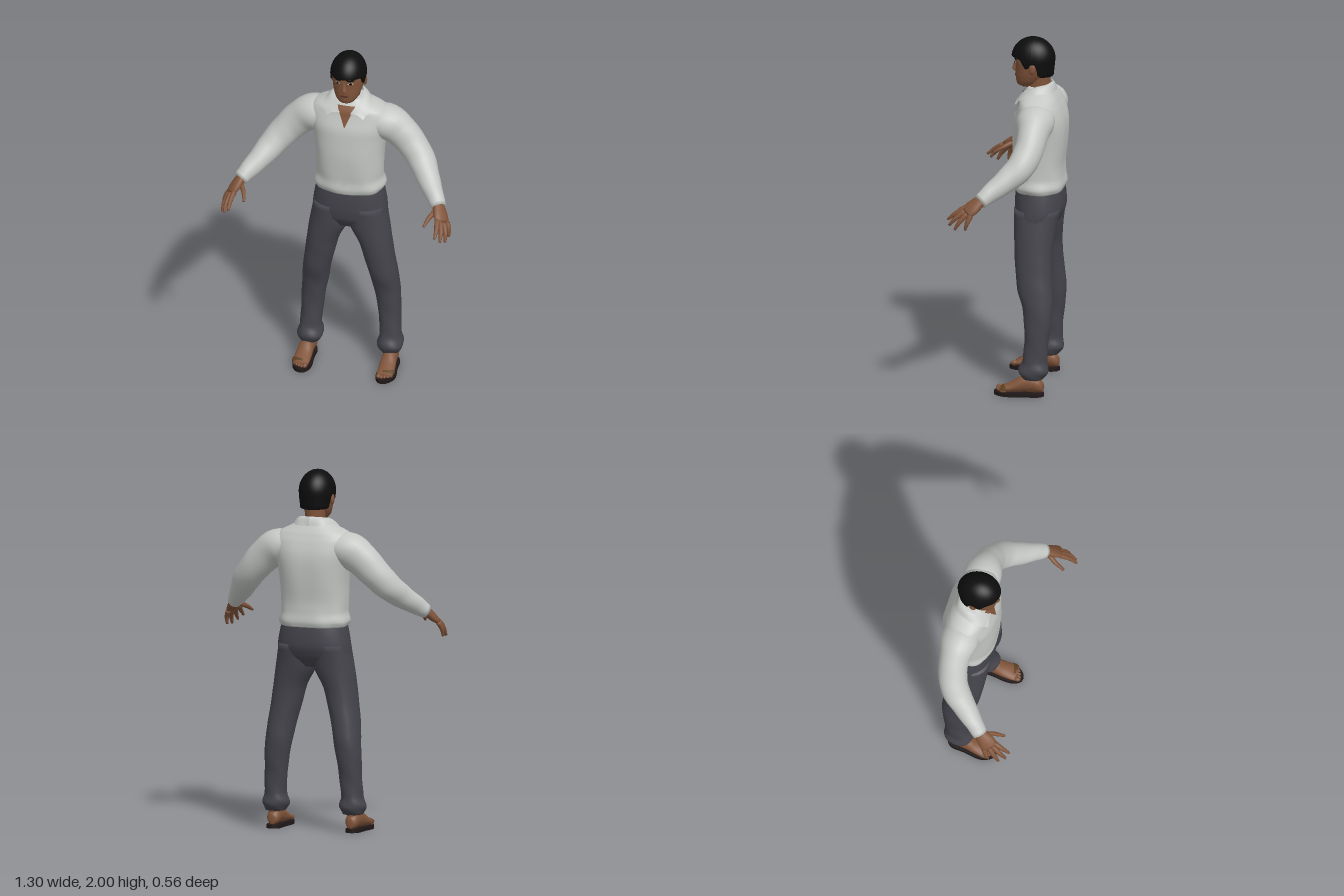
import * as THREE from 'three';

const V = (x, y, z) => new THREE.Vector3(x, y, z);
const DOWN = V(0, -1, 0), X = V(1, 0, 0);
const paint = (name, color) => {
  const m = new THREE.MeshStandardMaterial({ color, side: THREE.DoubleSide });
  m.name = name;
  return m;
};

// Grid surface from a rule fn(u, v) -> Vector3
function grid(fn, nu, nv) {
  const pos = [], idx = [];
  for (let i = 0; i <= nu; i++)
    for (let j = 0; j <= nv; j++) pos.push(...fn(i / nu, j / nv).toArray());
  for (let i = 0; i < nu; i++)
    for (let j = 0; j < nv; j++) {
      const a = i * (nv + 1) + j, b = a + nv + 1;
      idx.push(a, b, a + 1, b, b + 1, a + 1);
    }
  const g = new THREE.BufferGeometry();
  g.setAttribute('position', new THREE.Float32BufferAttribute(pos, 3));
  g.setIndex(idx);
  g.computeVertexNormals();
  return g;
}

// Closed loft through oval sections [x, y, z, radiusU, radiusV]
function loft(rows, { axis, side = X, n = 2, seg = 24, steps = 4, bump = () => 1 } = {}) {
  const mid = new THREE.CatmullRomCurve3(rows.map(r => V(r[0], r[1], r[2])));
  const rad = new THREE.CatmullRomCurve3(rows.map(r => V(r[3], r[4], 0)));
  const pw = c => Math.sign(c) * Math.abs(c) ** (2 / n);
  const point = (t, a, k = 1) => {
    const c = mid.getPoint(t), r = rad.getPoint(t), T = axis || mid.getTangent(t);
    const u = side.clone().addScaledVector(T, -side.dot(T)).normalize();
    const v = T.clone().cross(u), b = bump(t, a) * k;
    return c.addScaledVector(u, pw(Math.cos(a)) * r.x * b).addScaledVector(v, pw(Math.sin(a)) * r.y * b);
  };
  const N = (rows.length - 1) * steps, pos = [], idx = [];
  for (let i = 0; i <= N; i++)
    for (let j = 0; j < seg; j++) pos.push(...point(i / N, (j / seg) * Math.PI * 2).toArray());
  const end = (N + 1) * seg;
  pos.push(...mid.getPoint(0).toArray(), ...mid.getPoint(1).toArray());
  for (let j = 0; j < seg; j++) {
    const k = (j + 1) % seg;
    for (let i = 0; i < N; i++) {
      const a = i * seg, b = a + seg;
      idx.push(a + j, a + k, b + j, a + k, b + k, b + j);
    }
    idx.push(end, k, j, end + 1, N * seg + j, N * seg + k);
  }
  const geo = new THREE.BufferGeometry();
  geo.setAttribute('position', new THREE.Float32BufferAttribute(pos, 3));
  geo.setIndex(idx);
  geo.computeVertexNormals();
  // z of the front surface of an upright loft at (x, y)
  const frontZ = (x, y) => {
    let lo = 0, hi = 1;
    for (let i = 0; i < 24; i++) {
      const m = (lo + hi) / 2;
      if (mid.getPoint(m).y > y) lo = m; else hi = m;
    }
    const r = rad.getPoint(lo);
    return mid.getPoint(lo).z + r.y * Math.max(0, 1 - Math.abs(x / r.x) ** n) ** (1 / n);
  };
  return { geo, point, frontZ };
}

export function createModel() {
  const model = new THREE.Group();
  model.name = 'standingMan';
  const skin = paint('skin', 0x80543a), shirt = paint('shirt cloth', 0xc4c7c4);
  const cloth = paint('trouser cloth', 0x45444c), black = paint('hair black', 0x0d0d0e);
  const dark = paint('sole', 0x211818), tan = paint('sandal strap', 0x5c4020);
  const white = paint('eye white', 0xb5aca2), lipMat = paint('lips', 0x5c3529);
  const add = (name, geo, mat) => {
    const m = new THREE.Mesh(geo, mat);
    m.name = name;
    model.add(m);
    return m;
  };

  // Shirt body, with a spine groove and soft folds near the hem
  const torso = loft([
    [0, 1.725, -.125, .07, .06], [0, 1.69, -.125, .14, .085], [0, 1.66, -.125, .2, .105],
    [0, 1.62, -.13, .232, .12], [0, 1.55, -.13, .222, .143], [0, 1.48, -.13, .205, .149],
    [0, 1.38, -.125, .192, .148], [0, 1.28, -.122, .188, .14], [0, 1.22, -.125, .186, .138],
    [0, 1.17, -.127, .199, .142], [0, 1.14, -.127, .188, .134],
  ], {
    axis: DOWN, n: 2.4, seg: 48,
    bump: (t, a) => 1 - .04 * Math.sin(Math.PI * t) * Math.exp(-((a - 4.71) ** 2) / .04)
      + .018 * Math.max(0, t - .5) * 2 * Math.sin(7 * a + 9 * t),
  });
  add('shirtBody', torso.geo, shirt);
  const onChest = (x, y, off) => V(x, y, torso.frontZ(x, y) + off);
  add('openNeckline', grid((v, u) => onChest((u * 2 - 1) * .05 * v, 1.57 + .12 * v, .004), 10, 8), skin);
  add('placket', grid((v, u) => onChest((u * 2 - 1) * .011, 1.2 + .36 * v, .005), 16, 2), shirt);

  // Face and neck
  const head = loft([
    [0, 1.965, -.09, .055, .07], [0, 1.92, -.09, .085, .1], [0, 1.87, -.09, .09, .105],
    [0, 1.83, -.088, .086, .1], [0, 1.79, -.075, .078, .086], [0, 1.755, -.06, .065, .069],
    [0, 1.73, -.05, .045, .052], [0, 1.715, -.05, .02, .028],
  ], { axis: DOWN, n: 2.15, seg: 32 });
  add('head', head.geo, skin);
  add('neck', loft([[0, 1.82, -.125, .058, .06], [0, 1.72, -.118, .056, .062], [0, 1.66, -.115, .07, .062]],
    { axis: DOWN }).geo, skin);
  add('nose', loft([[0, 1.87, .006, .008, .008], [0, 1.84, .012, .01, .012], [0, 1.812, .016, .017, .015],
    [0, 1.802, .01, .013, .009]], { axis: DOWN, seg: 12 }).geo, skin);
  const spot = (name, cx, cy, rx, ry, off, mat) => add(name, grid((r, a) => {
    const x = cx + rx * r * Math.cos(a * 2 * Math.PI), y = cy + ry * r * Math.sin(a * 2 * Math.PI);
    return V(x, y, head.frontZ(x, y) + off);
  }, 3, 16), mat);
  spot('mouth', 0, 1.778, .026, .007, .004, lipMat);

  // Hair: a cap whose lower edge follows hairline, sideburns and nape
  const hairline = [[-1, 1.785], [-.4, 1.79], [-.22, 1.865], [.05, 1.865], [.12, 1.835], [.28, 1.84], [.5, 1.89], [1, 1.895]];
  const edgeAt = s => {
    const i = Math.max(1, hairline.findIndex(h => h[0] >= s - 1e-6));
    const [a, b] = [hairline[i - 1], hairline[i]];
    return a[1] + (b[1] - a[1]) * (s - a[0]) / (b[0] - a[0]);
  };
  add('hair', grid((w, q) => {
    const a = -q * Math.PI * 2, s = Math.max(-1, Math.min(1, Math.sin(a)));
    const k = Math.min(1, w / .92), y = 2 - (2 - edgeAt(s)) * k * k;
    let r = y > 1.88 ? Math.sqrt(Math.max(0, 1 - ((y - 1.88) / .12) ** 2)) : 1 - (1.88 - y) * .9;
    if (w > .93) r *= .84;
    return V(.1 * r * Math.cos(a), y, -.087 + .122 * r * s);
  }, 24, 64), black);

  for (const s of [1, -1]) {
    const label = s > 0 ? 'left' : 'right';
    const part = (name, rows, opt = {}, mat = skin) => {
      const l = loft(rows.map(([x, ...r]) => [x * s, ...r]), opt);
      add(label + name, l.geo, mat);
      return l;
    };

    // Eyes, brows and ears
    spot(label + 'EyeWhite', s * .037, 1.862, .016, .007, .003, white);
    spot(label + 'Pupil', s * .037, 1.862, .007, .007, .005, black);
    spot(label + 'Brow', s * .038, 1.881, .023, .005, .004, black);
    const ear = new THREE.SphereGeometry(1, 14, 10);
    ear.scale(.012, .032, .02);
    ear.translate(s * .091, 1.84, -.095);
    add(label + 'Ear', ear, skin);

    // Collar half, from the nape round to the pointed wing
    const inner = new THREE.CatmullRomCurve3([V(0, 1.75, -.195), V(.06, 1.745, -.165), V(.075, 1.735, -.115),
      V(.062, 1.705, -.06), V(.028, 1.655, -.015)]);
    const outer = new THREE.CatmullRomCurve3([V(0, 1.70, -.215), V(.08, 1.70, -.2), V(.122, 1.705, -.13),
      V(.132, 1.675, -.06), V(.105, 1.635, 0)]);
    add(label + 'Collar', grid((t, k) => {
      const p = inner.getPoint(t).lerp(outer.getPoint(t), k);
      p.addScaledVector(V(0, 1, 0), .012 * Math.sin(k * Math.PI));
      if (p.z > -.12) p.z = Math.max(p.z, torso.frontZ(p.x, p.y) + .01);
      p.x *= s;
      return p;
    }, 20, 5), shirt);

    // Sleeve
    part('Sleeve', [
      [.13, 1.58, -.135, .08, .1], [.21, 1.565, -.135, .1, .105], [.28, 1.52, -.135, .095, .085],
      [.35, 1.45, -.125, .086, .08], [.415, 1.375, -.09, .078, .078], [.47, 1.31, -.02, .066, .066],
      [.53, 1.25, .06, .052, .05], [.567, 1.213, .107, .041, .041],
    ], { side: V(.3 * s, 1, 0), bump: (t, a) => 1 + .018 * Math.sin(t * 38 + 2 * a) * t }, shirt);

    // Hand with four fingers and a thumb
    const across = V(.45 * s, -.25, -.5).normalize();
    part('Palm', [[.55, 1.237, .085, .032, .026], [.568, 1.21, .115, .039, .026],
      [.588, 1.18, .15, .047, .023], [.603, 1.158, .177, .043, .016]], { side: across, seg: 16 });
    const fingers = {
      IndexFinger: [[.578, 1.175, .19], [.587, 1.145, .24], [.587, 1.11, .283]],
      MiddleFinger: [[.595, 1.163, .187], [.612, 1.125, .235], [.614, 1.085, .27]],
      RingFinger: [[.61, 1.153, .172], [.63, 1.11, .21], [.635, 1.067, .235]],
      LittleFinger: [[.622, 1.148, .148], [.638, 1.11, .165], [.64, 1.07, .175]],
      Thumb: [[.558, 1.2, .125], [.528, 1.175, .18], [.512, 1.148, .232]],
    };
    for (const [name, pts] of Object.entries(fingers))
      part(name, pts.map((p, i) => [...p, [.016, .013, .007][i], [.015, .012, .007][i]]), { side: across, seg: 10 });

    // Trouser leg, gathered at the cuff
    part('TrouserLeg', [
      [.1, 1.04, -.125, .1, .128], [.11, .92, -.118, .112, .116], [.148, .8, -.115, .09, .105],
      [.168, .7, -.12, .083, .1], [.188, .6, -.13, .077, .097], [.202, .5, -.148, .073, .084],
      [.214, .4, -.15, .066, .074], [.221, .3, -.145, .061, .066], [.227, .2, -.137, .059, .069],
      [.227, .145, -.13, .073, .084], [.229, .1, -.127, .055, .06],
    ], { axis: DOWN, n: 2.2, bump: (t, a) => 1 + .03 * t * t * Math.sin(a * 3 + t * 40) }, cloth);

    // Foot, ankle and toes
    part('Ankle', [[.23, .18, -.13, .034, .045], [.232, .11, -.128, .035, .046], [.233, .05, -.12, .038, .05]], { axis: DOWN });
    const foot = part('Foot', [
      [.232, .05, -.185, .02, .025], [.232, .06, -.165, .035, .04], [.234, .072, -.12, .04, .052],
      [.236, .068, -.07, .042, .048], [.238, .05, -.02, .046, .032], [.24, .038, .03, .047, .02],
      [.238, .033, .055, .041, .013],
    ], { axis: V(0, 0, 1) });
    for (let i = 0; i < 5; i++) {
      const toe = new THREE.SphereGeometry(1, 10, 8), r = i ? .0095 : .014;
      toe.scale(r, r, .022);
      toe.translate(s * (.21 + i * .0165), .02 + r, .06 - i * i * .0018);
      add(label + 'Toe' + (i + 1), toe, skin);
    }

    // Sandal
    const rim = [[.235, -.19], [.198, -.165], [.194, -.08], [.185, 0], [.19, .05], [.215, .086],
      [.25, .086], [.284, .045], [.292, 0], [.28, -.08], [.27, -.165]];
    const curve = new THREE.CatmullRomCurve3(rim.map(([x, z]) => V(x * s, z, 0)), true);
    const outline = new THREE.Shape(curve.getPoints(44).slice(0, -1).map(p => new THREE.Vector2(p.x, p.y)));
    const sole = new THREE.ExtrudeGeometry(outline, { depth: .02, bevelEnabled: false });
    sole.rotateX(Math.PI / 2);
    sole.translate(0, .02, 0);
    add(label + 'Sole', sole, dark);
    add(label + 'Strap', grid((u, v) => {
      const a = .05 + 1.75 * u, t = .76 + .1 * u + (.2 - .13 * u) * v;
      return foot.point(t, s > 0 ? a : Math.PI - a, 1.09);
    }, 12, 6), tan);
  }

  // Seat and waist of the trousers
  add('trouserSeat', loft([
    [0, 1.165, -.127, .182, .128], [0, 1.1, -.128, .196, .136], [0, 1.03, -.128, .207, .137],
    [0, .97, -.121, .208, .122], [0, .915, -.115, .14, .085],
  ], { axis: DOWN, n: 2.3, seg: 40 }).geo, cloth);

  return model;
}
